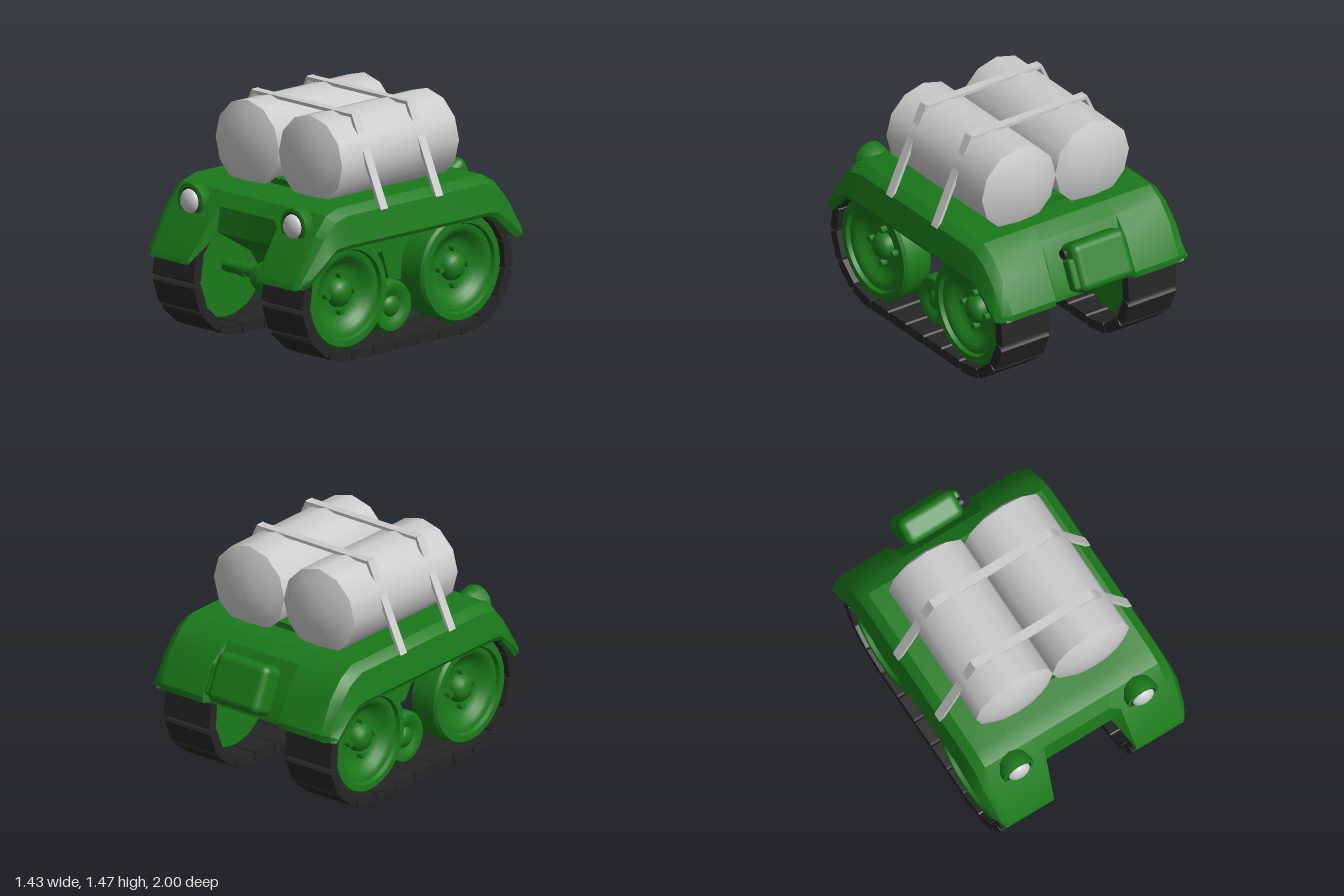
import * as THREE from 'three';
import { toCreasedNormals } from 'three/addons/utils/BufferGeometryUtils.js';
import { RoundedBoxGeometry } from 'three/addons/geometries/RoundedBoxGeometry.js';

const mat = (color) => new THREE.MeshStandardMaterial({ color });
const GREEN = mat(0x1a7a1a), GREY = mat(0xcccccc), BLACK = mat(0x262626);
const SHELL = mat(0x1a7a1a);
SHELL.side = THREE.DoubleSide;

function add(parent, name, geo, material, x = 0, y = 0, z = 0) {
  const mesh = new THREE.Mesh(geo, material);
  mesh.name = name;
  mesh.position.set(x, y, z);
  parent.add(mesh);
  return mesh;
}

// Side outline of [z, y] points, extruded across x and centred
function extrudeX(points, width) {
  const shape = new THREE.Shape(points.map((p) => new THREE.Vector2(...p)));
  return new THREE.ExtrudeGeometry(shape, { depth: width, bevelEnabled: false })
    .translate(0, 0, -width / 2).rotateY(-Math.PI / 2);
}

// Lathe of [radius, height] points with sharp corners kept
const turned = (points, sides, crease = 0.6) =>
  toCreasedNormals(new THREE.LatheGeometry(points.map((p) => new THREE.Vector2(...p)), sides), crease);

// Upper body: [z, y, inset] lines from front tip to rear, joined across x
function bodyShell() {
  const top = [[1, 0.51], [0.99, 0.55], [0.82, 0.82], [0.73, 0.93], [0.62, 0.965],
    [-0.58, 0.965], [-0.68, 0.91], [-0.78, 0.8], [-0.88, 0.6], [-0.88, 0.56]];
  const shoulder = [[0.985, 0.515, 0.035], [0.97, 0.56, 0.025], [0.8, 0.8], [0.71, 0.89], [0.6, 0.92],
    [-0.56, 0.92], [-0.66, 0.87], [-0.76, 0.77], [-0.86, 0.6], [-0.86, 0.56]];
  const flank = [[0.95, 0.54, 0.05], [0.92, 0.57, 0.03], [0.79, 0.69], [0.72, 0.74], [0.6, 0.745],
    [-0.56, 0.745], [-0.63, 0.735], [-0.71, 0.68], [-0.82, 0.58], [-0.84, 0.56]];
  const hem = [[0.95, 0.512, 0.05], [0.91, 0.53, 0.03], [0.81, 0.63], [0.735, 0.705], [0.6, 0.72],
    [-0.56, 0.72], [-0.62, 0.7], [-0.7, 0.63], [-0.79, 0.55], [-0.82, 0.545]];
  const roof = [[1, 0.51, 0.03], [0.96, 0.55, 0.02], [0.8, 0.78], [0.7, 0.84], [0.6, 0.85],
    [-0.56, 0.85], [-0.65, 0.82], [-0.74, 0.74], [-0.84, 0.6], [-0.88, 0.56]];
  const centre = [[0.79, 0.685], [0.81, 0.69], [0.79, 0.85], [0.73, 0.93], [0.62, 0.965],
    [-0.58, 0.965], [-0.68, 0.91, -0.03], [-0.755, 0.78, -0.035], [-0.84, 0.6, -0.035], [-0.845, 0.56, -0.035]];
  const innerRoof = roof.map(([z, y]) => [z, y]);
  const half = [[0.295, top], [0.295, innerRoof], [0.66, roof], [0.66, hem], [0.7, hem], [0.715, flank],
    [0.68, shoulder], [0.62, top], [0.295, top], [0.235, centre]];
  const rows = [...half.map((r) => [...r, 1]), ...half.map((r) => [...r, -1]).reverse()];
  const n = top.length, pos = [], index = [];
  rows.forEach(([x, line, side]) => line.forEach(([z, y, inset = 0]) => pos.push(side * (x - inset), y, z)));
  for (let i = 0; i < rows.length - 1; i++) {
    for (let j = 0; j < n - 1; j++) {
      const a = i * n + j, b = a + n;
      index.push(a, a + 1, b, b, a + 1, b + 1);
    }
  }
  const geo = new THREE.BufferGeometry();
  geo.setAttribute('position', new THREE.Float32BufferAttribute(pos, 3));
  geo.setIndex(index);
  return toCreasedNormals(geo, 0.45);
}

const AXLE_Y = 0.41, FRONT_Z = 0.545, REAR_Z = -0.41;

function roadWheel() {
  const g = new THREE.Group();
  g.name = 'roadWheel';
  const profile = [[0, 0.43], [0.32, 0.43], [0.335, 0.445], [0.335, 0.61], [0.32, 0.63], [0.28, 0.63],
    [0.27, 0.605], [0.245, 0.605], [0.22, 0.59], [0.19, 0.56], [0.16, 0.54], [0.13, 0.535], [0.09, 0.535],
    [0.085, 0.565], [0.065, 0.59], [0.035, 0.603], [0, 0.607]];
  add(g, 'wheelDisc', turned(profile, 32).rotateZ(-Math.PI / 2), GREEN);
  for (let i = 0; i < 4; i++) {
    const a = i * Math.PI / 2;
    add(g, 'wheelBolt', new THREE.CylinderGeometry(0.022, 0.022, 0.05, 6).rotateZ(Math.PI / 2), GREEN,
      0.55, Math.cos(a) * 0.115, Math.sin(a) * 0.115);
  }
  return g;
}

// Track plates spaced evenly round both wheels
function track() {
  const g = new THREE.Group();
  g.name = 'track';
  const plate = extrudeX([[-0.089, -0.018], [-0.079, -0.033], [0.079, -0.033], [0.089, -0.018],
    [0.089, 0.02], [0.08, 0.03], [-0.08, 0.03], [-0.089, 0.02]], 0.355);
  const r = 0.369, run = FRONT_Z - REAR_Z, arc = Math.PI * r, total = 2 * (run + arc), count = 23;
  for (let i = 0; i < count; i++) {
    let s = (FRONT_Z - 0.08 + i * total / count) % total;
    let z, y, a;
    if (s < run) { z = FRONT_Z - s; y = AXLE_Y - r; a = 0; }
    else if ((s -= run) < arc) { a = s / r; z = REAR_Z - r * Math.sin(a); y = AXLE_Y - r * Math.cos(a); }
    else if ((s -= arc) < run) { z = REAR_Z + s; y = AXLE_Y + r; a = Math.PI; }
    else { a = Math.PI + (s - run) / r; z = FRONT_Z - r * Math.sin(a); y = AXLE_Y - r * Math.cos(a); }
    add(g, 'trackPlate', plate, BLACK, 0.4725, y, z).rotation.x = a;
  }
  return g;
}

function headlight() {
  const g = new THREE.Group();
  g.name = 'headlight';
  const bowl = [[0, -0.16], [0.06, -0.14], [0.095, -0.09], [0.11, -0.03], [0.11, 0], [0.088, 0.005], [0.085, -0.03]];
  add(g, 'lampHousing', turned(bowl, 12).rotateX(Math.PI / 2), SHELL);
  add(g, 'lampRing', new THREE.CylinderGeometry(0.088, 0.088, 0.03, 16).rotateX(Math.PI / 2), BLACK, 0, 0, -0.014);
  add(g, 'lampLens', new THREE.SphereGeometry(0.075, 20, 12).scale(1, 1, 0.55), GREY);
  g.position.set(0.445, 0.855, 0.835);
  return g;
}

function barrel() {
  const profile = [[0, -0.53], [0.1, -0.521], [0.2, -0.498], [0.275, -0.465],
    [0.275, 0.52], [0.2, 0.555], [0.1, 0.577], [0, 0.585]];
  return turned(profile, 12).rotateX(Math.PI / 2);
}

export function createModel() {
  const model = new THREE.Group();

  // Hull
  add(model, 'upperBody', bodyShell(), SHELL);
  add(model, 'lowerHull', extrudeX([[0.79, 0.69], [0.5, 0.52], [0.36, 0.31], [0.28, 0.31], [0.22, 0.505],
    [-0.09, 0.505], [-0.15, 0.31], [-0.4, 0.31], [-0.82, 0.57], [-0.7, 0.8], [-0.6, 0.9], [0.6, 0.9]], 0.535), GREEN);
  add(model, 'barrelCradle', new THREE.BoxGeometry(0.22, 0.05, 0.9), GREEN, 0, 0.978, 0.03);

  // Axles and front gear housing
  for (const z of [FRONT_Z, REAR_Z]) {
    add(model, 'axle', new THREE.CylinderGeometry(0.04, 0.04, 0.88, 16).rotateZ(Math.PI / 2), GREEN, 0, AXLE_Y, z);
  }
  const housing = [[0, -0.15], [0.075, -0.15], [0.095, -0.11], [0.095, 0.11], [0.075, 0.15], [0, 0.15]];
  add(model, 'gearHousing', turned(housing, 16).rotateZ(-Math.PI / 2), GREEN, 0, 0.393, FRONT_Z);

  // Running gear, lamps and barrels on each side
  for (const side of [1, -1]) {
    const g = new THREE.Group();
    g.name = side > 0 ? 'leftSide' : 'rightSide';
    for (const z of [FRONT_Z, REAR_Z]) {
      const wheel = roadWheel();
      wheel.position.set(0, AXLE_Y, z);
      g.add(wheel);
    }
    const idler = [[0, 0.43], [0.14, 0.43], [0.163, 0.445], [0.163, 0.5], [0.15, 0.525], [0.12, 0.53],
      [0.09, 0.515], [0.065, 0.505], [0.055, 0.52], [0.03, 0.53], [0, 0.533]];
    add(g, 'idlerWheel', turned(idler, 24, 0.9).rotateZ(-Math.PI / 2), GREEN, 0, 0.235, 0.067);
    add(g, 'axleCollar', new THREE.CylinderGeometry(0.046, 0.046, 0.06, 16).rotateZ(Math.PI / 2), GREEN, 0.27, AXLE_Y, FRONT_Z);
    g.add(track(), headlight());
    add(g, 'barrel', barrel(), GREY, 0.273, 1.185, 0);
    // Slanted strap ends
    for (const z of [0.3, -0.165]) {
      const strap = add(g, 'strapSide', new THREE.BoxGeometry(0.02, 0.61, 0.06), GREY, 0.552, 1.185, z);
      strap.rotation.z = Math.atan2(0.255, 0.55);
    }
    g.scale.x = side;
    model.add(g);
  }

  // Straps over the barrels
  for (const z of [0.3, -0.165]) {
    add(model, 'strapTop', new THREE.BoxGeometry(0.84, 0.02, 0.06), GREY, 0, 1.452, z);
  }

  // Fuel can leaning on the rear
  const can = new THREE.Group();
  can.name = 'fuelCan';
  add(can, 'canBody', new RoundedBoxGeometry(0.4, 0.31, 0.18, 4, 0.05), GREEN, -0.02, 0, 0);
  add(can, 'canHandle', new RoundedBoxGeometry(0.06, 0.2, 0.08, 2, 0.02), GREEN, 0.185, -0.03, -0.02);
  add(can, 'canCap', new THREE.CylinderGeometry(0.032, 0.032, 0.05, 12).rotateZ(Math.PI / 2), BLACK, 0.175, 0.1, 0.015);
  can.position.set(0, 0.768, -0.867);
  can.rotation.x = 0.44;
  model.add(can);

  return model;
}
